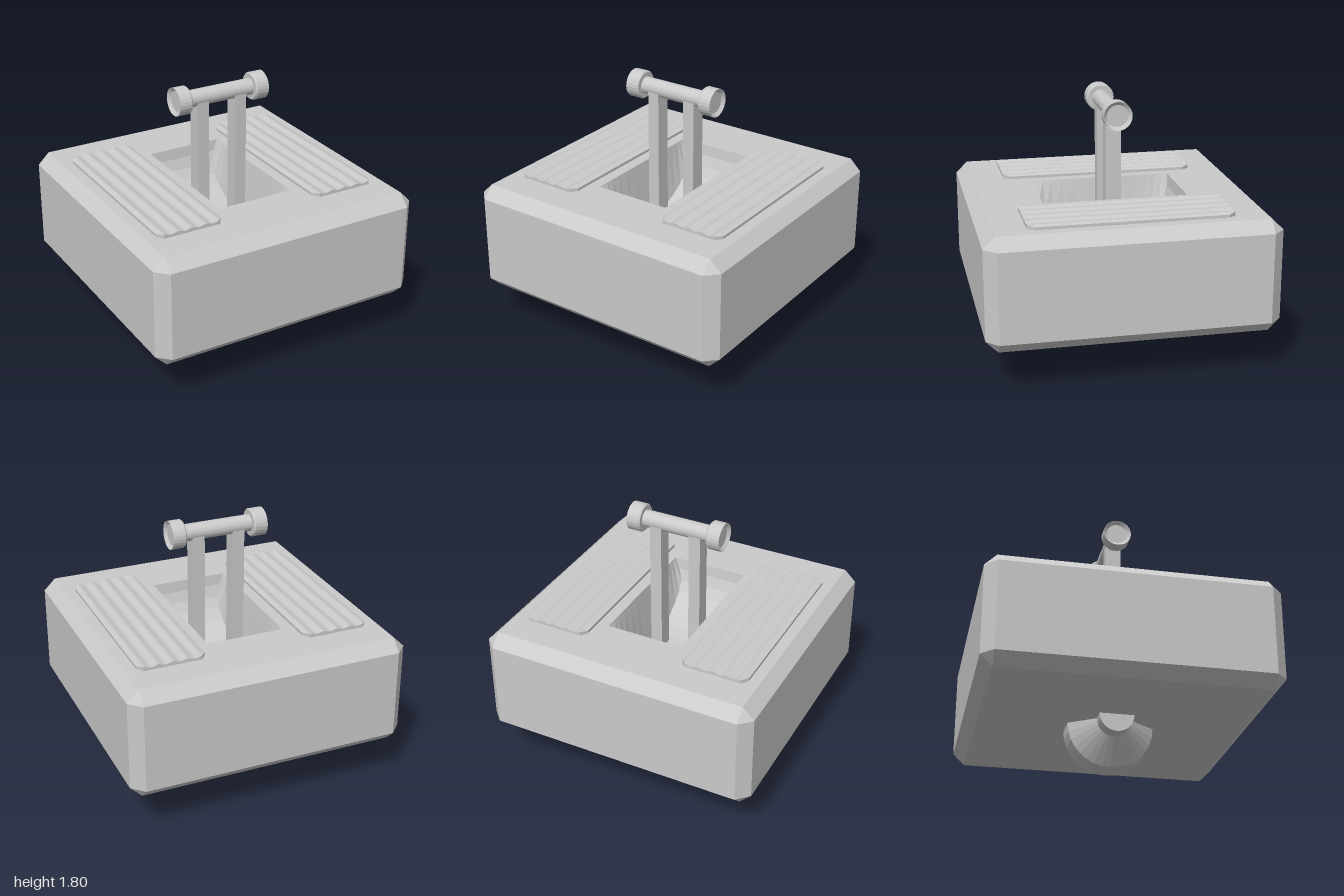
import * as THREE from 'three';

const grey = new THREE.MeshStandardMaterial({ color: 0xcacaca });
grey.name = 'light grey';

const add = (parent, name, geometry) => {
  const mesh = new THREE.Mesh(geometry, grey);
  mesh.name = name;
  parent.add(mesh);
  return mesh;
};

// Flat-shaded geometry from a list of quads [a, b, c, d], counter-clockwise from outside
function fromQuads(quads) {
  const p = [];
  for (const [a, b, c, d] of quads) p.push(...a, ...b, ...c, ...a, ...c, ...d);
  const g = new THREE.BufferGeometry();
  g.setAttribute('position', new THREE.Float32BufferAttribute(p, 3));
  g.computeVertexNormals();
  return g;
}

// Faceted solid of revolution along the x axis; half profile is mirrored
function turned(half, segments) {
  const all = [...half, ...half.slice().reverse().map(([r, x]) => [r, -x])];
  const g = new THREE.LatheGeometry(all.map(([r, x]) => new THREE.Vector2(r, x)), segments)
    .rotateZ(-Math.PI / 2).toNonIndexed();
  g.computeVertexNormals();
  return g;
}

const TOP = 1.1, BOTTOM = 0.305, IN = 0.917, BEVEL = 0.082;
const HOLE_X = 0.28, HOLE_Z = 0.51, FLOOR_X = 0.21, DEPTH = 0.42;

// Square outline with cut corners; s is the half size
function ring(s, y) {
  return [[s, IN], [s, -IN], [IN, -s], [-IN, -s], [-s, -IN], [-s, IN], [-IN, s], [IN, s]]
    .map(([x, z]) => [x, y, z]);
}

function rect(x, y, Type = THREE.Shape) {
  return new Type([[-x, -y], [x, -y], [x, y], [-x, y]].map(([a, b]) => new THREE.Vector2(a, b)));
}

function bodySides() {
  const rings = [ring(IN, BOTTOM), ring(1, BOTTOM + BEVEL), ring(1, TOP - BEVEL), ring(IN, TOP)];
  const quads = [];
  for (let k = 0; k < 3; k++)
    for (let i = 0; i < 8; i++) {
      const j = (i + 1) % 8, lo = rings[k], hi = rings[k + 1];
      // Corner facets shrink to triangles at the square rings
      if (k === 2) quads.push([hi[i], lo[i], lo[j], hi[j]]);
      else quads.push([lo[i], lo[j], hi[j], hi[i]]);
    }
  return fromQuads(quads);
}

// Curved trough with sloping side walls
function trough() {
  const n = 16, quads = [];
  const at = (i) => {
    const t = (i / n) * Math.PI;
    const w = HOLE_X - (HOLE_X - FLOOR_X) * Math.min(1, i / 2, (n - i) / 2);
    return [w, TOP - DEPTH * Math.sin(t), HOLE_Z * Math.cos(t)];
  };
  for (let i = 0; i < n; i++) {
    const [w, y, z] = at(i), [v, u, q] = at(i + 1);
    quads.push([[-w, y, z], [w, y, z], [v, u, q], [-v, u, q]]);
    quads.push([[HOLE_X, TOP, z], [HOLE_X, TOP, q], [v, u, q], [w, y, z]]);
    quads.push([[-w, y, z], [-v, u, q], [-HOLE_X, TOP, q], [-HOLE_X, TOP, z]]);
  }
  return fromQuads(quads);
}

// Ribbed foot pad: wavy top, corners cut in plan
function ribbedPad() {
  const half = 0.24, cut = 0.035, n = 24, quads = [];
  const xs = [-half];
  for (let i = 0; i <= n; i++) xs.push(-half + cut + (i / n) * 2 * (half - cut));
  xs.push(half);
  const at = (x) => [
    x,
    TOP + 0.023 + 0.006 * Math.cos((x / 0.1025) * Math.PI * 2),
    Math.abs(x) > half - cut / 2 ? 0.65 : 0.7,
  ];
  for (let i = 0; i < xs.length - 1; i++) {
    const [a, y, h] = at(xs[i]), [b, u, k] = at(xs[i + 1]);
    quads.push([[a, y, h], [b, u, k], [b, u, -k], [a, y, -h]]);
    quads.push([[a, TOP, h], [b, TOP, k], [b, u, k], [a, y, h]]);
    quads.push([[a, y, -h], [b, u, -k], [b, TOP, -k], [a, TOP, -h]]);
  }
  const [x, y, h] = at(half);
  quads.push([[-x, TOP, -h], [-x, TOP, h], [-x, y, h], [-x, y, -h]]);
  quads.push([[x, y, -h], [x, y, h], [x, TOP, h], [x, TOP, -h]]);
  return fromQuads(quads);
}

export function createModel() {
  const model = new THREE.Group();
  model.name = 'leverPedalBox';

  // Bevelled housing with an opening on top
  const body = new THREE.Group();
  body.name = 'housing';
  model.add(body);
  add(body, 'housingSides', bodySides());
  const topShape = rect(IN, IN);
  topShape.holes.push(rect(HOLE_X, HOLE_Z, THREE.Path));
  add(body, 'housingTop', new THREE.ShapeGeometry(topShape).rotateX(-Math.PI / 2)).position.y = TOP;
  add(body, 'housingBottom', new THREE.ShapeGeometry(rect(IN, IN)).rotateX(Math.PI / 2)).position.y = BOTTOM;
  add(body, 'trough', trough());

  // Pads and lever posts on both sides
  const pad = ribbedPad();
  const floor = TOP - DEPTH - 0.01, postTop = 1.68;
  for (const [side, s] of [['left', 1], ['right', -1]]) {
    add(model, side + 'Pad', pad).position.x = s * 0.6;
    add(model, side + 'Post', new THREE.BoxGeometry(0.086, postTop - floor, 0.11))
      .position.set(s * 0.149, (postTop + floor) / 2, 0);
  }

  // Handle bar with dished end knobs
  add(model, 'handle', turned([
    [0, -0.33], [0.075, -0.33], [0.1, -0.35], [0.1, -0.26], [0.092, -0.25], [0.06, -0.25],
  ], 24)).position.y = 1.702;

  // Tapered wheel and axle under the housing
  add(model, 'wheel', turned([
    [0, -0.315], [0.12, -0.315], [0.12, -0.21], [0.3, -0.087],
  ], 32)).position.y = 0.302;

  return model;
}
